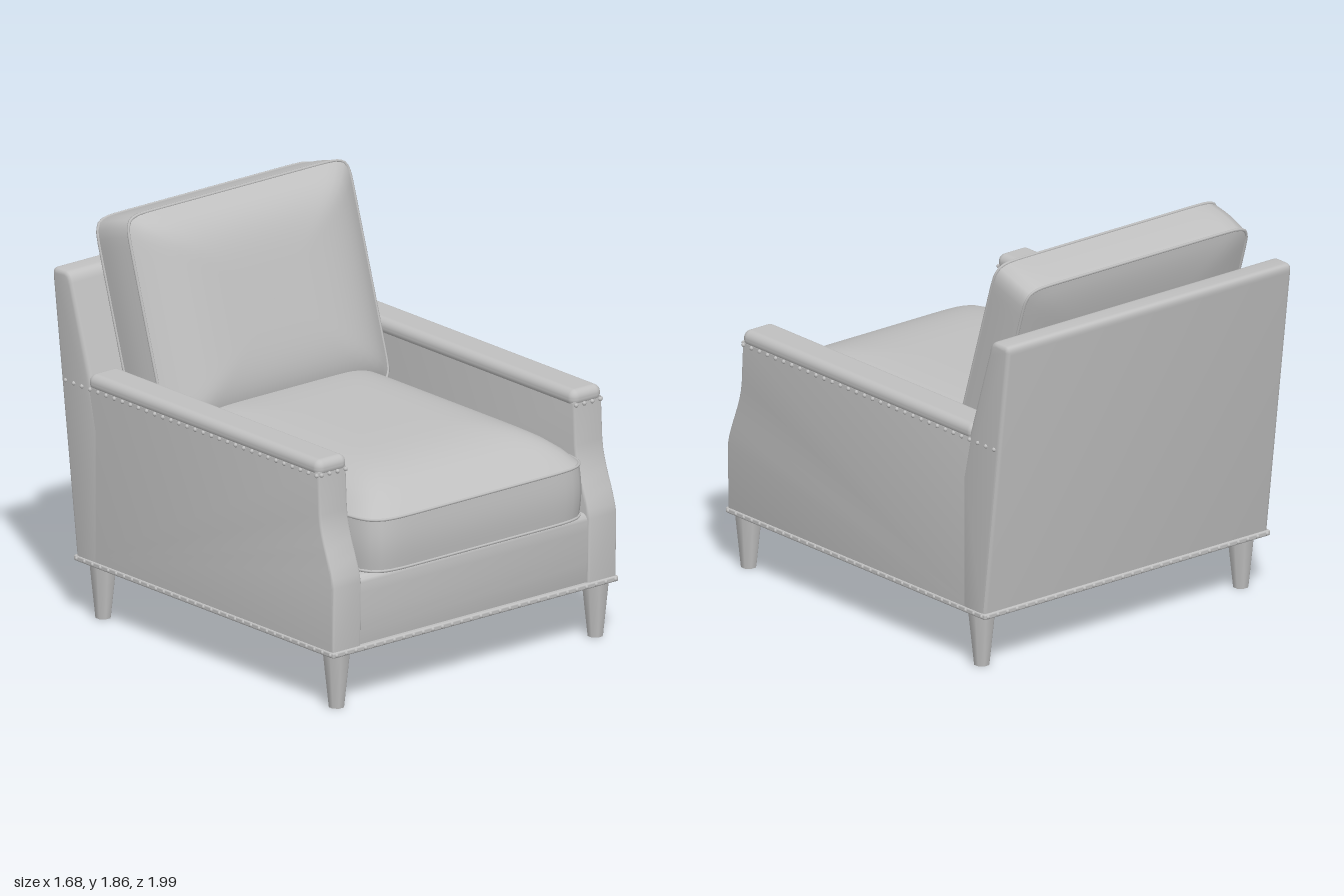
import * as THREE from 'three';
import { mergeGeometries, toCreasedNormals } from 'three/addons/utils/BufferGeometryUtils.js';
import { RoundedBoxGeometry } from 'three/addons/geometries/RoundedBoxGeometry.js';

const upholstery = new THREE.MeshStandardMaterial({ color: 0xc0c0c0 });
upholstery.name = 'grey upholstery';

function part(parent, name, geometry, x = 0, y = 0, z = 0) {
  const mesh = new THREE.Mesh(geometry, upholstery);
  mesh.name = name;
  mesh.position.set(x, y, z);
  parent.add(mesh);
  return mesh;
}

// Extrudes a side profile drawn in (z, y) across x, centred, with softened edges
function sideProfile(shape, width, bevel) {
  const geo = new THREE.ExtrudeGeometry(shape, {
    depth: width - 2 * bevel, bevelEnabled: true, bevelThickness: bevel,
    bevelSize: bevel, bevelOffset: -bevel, bevelSegments: 3, curveSegments: 8,
  });
  geo.translate(0, 0, -(width - 2 * bevel) / 2).rotateY(-Math.PI / 2);
  return toCreasedNormals(geo, 0.6);
}

// Box cushion: outline in xy, thickness along z, crowned faces, welt on both seams.
// A higher squareness gives tighter corners.
function cushion(name, w, h, thick, frontCrown, backCrown, squareness) {
  const N = 128, steps = 14, group = new THREE.Group();
  group.name = name;
  const outline = (i, s) => {
    const a = (i / N) * Math.PI * 2, c = Math.cos(a), d = Math.sin(a);
    const r = s / Math.pow(Math.abs(c) ** squareness + Math.abs(d) ** squareness, 1 / squareness);
    return [c * r * w / 2, d * r * h / 2];
  };
  const strip = (rings) => {
    const pos = [], idx = [];
    rings.forEach(([s, z], j) => {
      for (let i = 0; i < N; i++) {
        pos.push(...outline(i, s), z);
        if (j === rings.length - 1) continue;
        const k = (i + 1) % N, a = j * N + i, b = j * N + k;
        idx.push(a, b, b + N, a, b + N, a + N);
      }
    });
    const geo = new THREE.BufferGeometry();
    geo.setAttribute('position', new THREE.Float32BufferAttribute(pos, 3));
    geo.setIndex(idx);
    geo.computeVertexNormals();
    return geo;
  };
  const front = [], back = [], side = [];
  for (let k = 0; k <= steps; k++) {
    const t = k / steps, s = 0.001 + 0.999 * t;
    back.push([s, -thick / 2 - backCrown * (1 - s ** 5)]);
    front.unshift([s, thick / 2 + frontCrown * (1 - s ** 5)]);
    side.push([1 + 0.01 * Math.sin(Math.PI * t), thick * (t - 0.5)]);
  }
  part(group, 'cushionFront', strip(front));
  part(group, 'cushionBack', strip(back));
  part(group, 'cushionBoxing', strip(side));
  for (const z of [-thick / 2, thick / 2]) {
    const pts = [];
    for (let i = 0; i < N; i++) pts.push(new THREE.Vector3(...outline(i, 1), z));
    part(group, 'welt', new THREE.TubeGeometry(new THREE.CatmullRomCurve3(pts, true), 200, 0.007, 6, true));
  }
  return group;
}

// A row of round nail heads from a to b
function nailRow(list, a, b, spacing = 0.055) {
  const from = new THREE.Vector3(...a), to = new THREE.Vector3(...b);
  const count = Math.round(from.distanceTo(to) / spacing);
  for (let i = 0; i <= count; i++) {
    const p = from.clone().lerp(to, i / count);
    list.push(new THREE.SphereGeometry(0.01, 8, 6).translate(p.x, p.y, p.z));
  }
}

export function createModel() {
  const chair = new THREE.Group();
  chair.name = 'armchair';

  // Arm panel with a flared front
  const arm = new THREE.Shape();
  arm.moveTo(-0.82, 0.26);
  arm.lineTo(0.93, 0.26);
  arm.lineTo(0.935, 0.58);
  arm.bezierCurveTo(0.92, 0.68, 0.85, 0.78, 0.84, 0.9);
  arm.lineTo(0.83, 1.1);
  arm.lineTo(-0.92, 1.1);
  arm.closePath();

  // Leaning back with a rounded top
  const back = new THREE.Shape();
  back.moveTo(-0.83, 0.26);
  back.lineTo(-0.995, 1.55);
  back.quadraticCurveTo(-1.0, 1.59, -0.97, 1.59);
  back.lineTo(-0.91, 1.59);
  back.quadraticCurveTo(-0.87, 1.59, -0.86, 1.53);
  back.lineTo(-0.73, 1.12);
  back.lineTo(-0.68, 0.9);
  back.lineTo(-0.68, 0.26);
  back.closePath();
  part(chair, 'backrest', sideProfile(back, 1.65, 0.02));

  // Seat deck with a closed underside and a slightly bowed front rail
  const deck = new THREE.Shape();
  deck.moveTo(-0.75, 0.258);
  deck.lineTo(0.905, 0.258);
  deck.bezierCurveTo(0.925, 0.36, 0.925, 0.46, 0.925, 0.56);
  deck.quadraticCurveTo(0.925, 0.6, 0.885, 0.6);
  deck.lineTo(-0.75, 0.6);
  deck.closePath();
  part(chair, 'seatDeck', sideProfile(deck, 1.34, 0.005));

  // Arms, caps, legs and nail heads on both sides
  const nails = [];
  for (const s of [-1, 1]) {
    const side = s > 0 ? 'left' : 'right';
    part(chair, side + 'Arm', sideProfile(arm, 0.165, 0.012), s * 0.742);
    part(chair, side + 'ArmCap', new RoundedBoxGeometry(0.175, 0.078, 1.59, 5, 0.036), s * 0.74, 1.112, 0.04);
    for (const z of [0.87, -0.73]) {
      const leg = new THREE.CylinderGeometry(0.064, 0.036, 0.26, 8).rotateY(Math.PI / 8);
      part(chair, side + (z > 0 ? 'FrontLeg' : 'BackLeg'), leg, s * 0.752, 0.13, z);
    }
    part(chair, side + 'BaseTrim', new RoundedBoxGeometry(0.018, 0.026, 1.76, 2, 0.008), s * 0.822, 0.268, 0.05);
    nailRow(nails, [s * 0.828, 0.268, 0.92], [s * 0.828, 0.268, -0.82]);
    nailRow(nails, [s * 0.825, 1.082, 0.82], [s * 0.825, 1.082, -0.9]);
    nailRow(nails, [s * 0.67, 1.085, 0.835], [s * 0.81, 1.085, 0.835], 0.047);
  }
  for (const [z, name] of [[0.925, 'frontBaseTrim'], [-0.828, 'rearBaseTrim']]) {
    part(chair, name, new RoundedBoxGeometry(1.66, 0.026, 0.03, 2, 0.008), 0, 0.268, z);
    const face = z + Math.sign(z) * 0.013;
    nailRow(nails, [-0.81, 0.268, face], [0.81, 0.268, face]);
  }
  part(chair, 'nailHeads', mergeGeometries(nails));

  // Loose cushions
  const seat = cushion('seatCushion', 1.29, 1.67, 0.24, 0.16, 0.01, 11);
  seat.rotation.x = -Math.PI / 2;
  seat.position.set(0, 0.735, 0.148);
  chair.add(seat);

  const pillow = cushion('backCushion', 1.29, 1.02, 0.22, 0.12, 0.03, 18);
  pillow.rotation.x = -0.3;
  pillow.position.set(0, 1.335, -0.66);
  chair.add(pillow);

  return chair;
}
